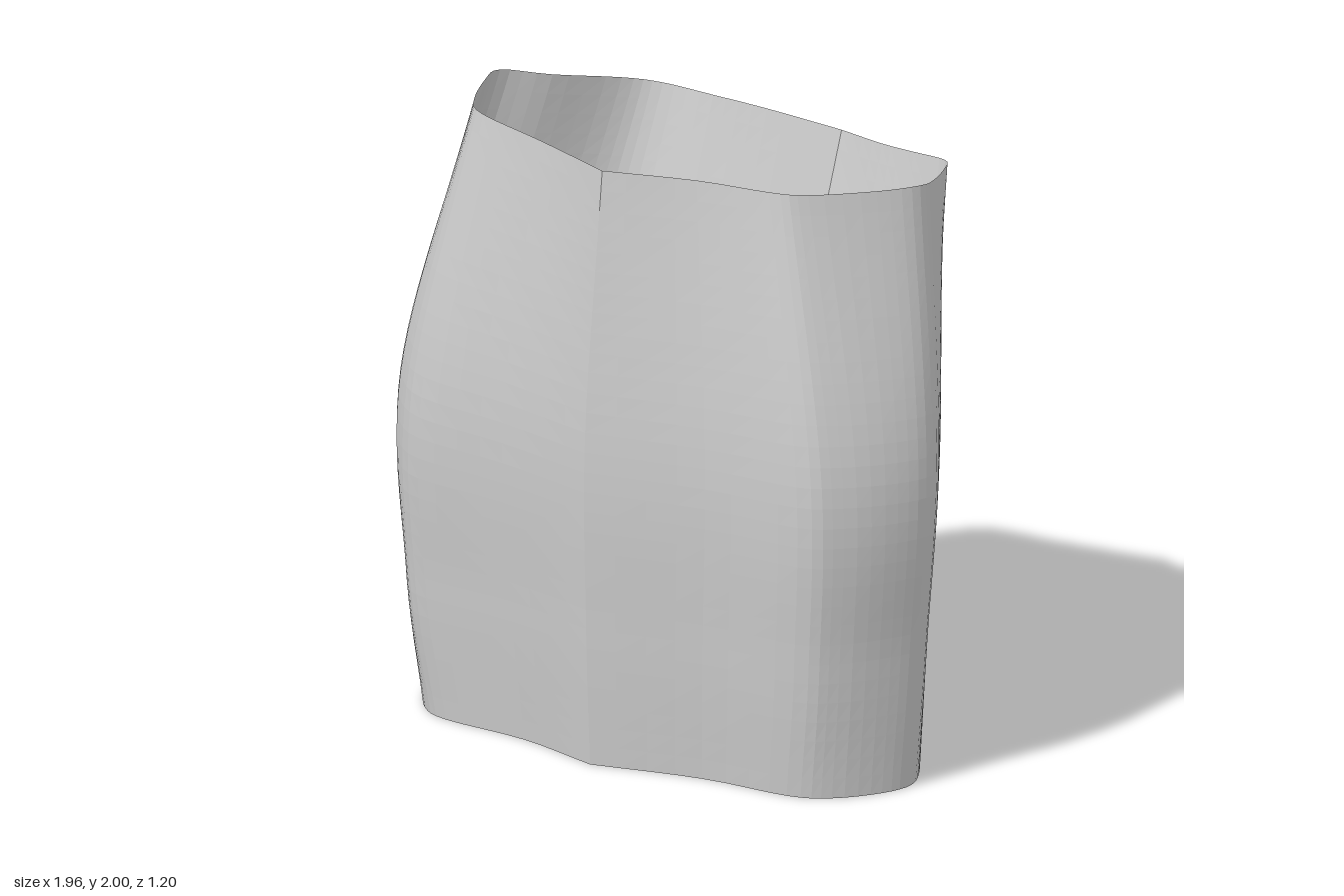
import * as THREE from 'three';

// Cross-sections of each half, from the back seam round the side to the front seam: x, z pairs.
const LEFT_HALF = [
  [.05,-.24, .3,-.18, .5,-.165, .65,-.165, .73,-.13, .83,0, .89,.13, .86,.25, .76,.38, .63,.44, .32,.455, -.045,.54],
  [.06,-.248, .3,-.19, .5,-.175, .67,-.17, .76,-.13, .86,0, .93,.13, .9,.26, .81,.41, .69,.485, .35,.495, -.035,.575],
  [.085,-.4, .3,-.33, .5,-.3, .65,-.27, .76,-.2, .88,-.04, .97,.13, .94,.28, .84,.44, .72,.52, .38,.525, -.02,.603],
  [.12,-.6, .35,-.49, .5,-.445, .65,-.4, .71,-.31, .78,-.15, .825,-.01, .77,.15, .65,.35, .55,.42, .3,.455, .005,.545],
];
const RIGHT_HALF = [
  [.05,-.24, -.15,-.18, -.35,-.16, -.6,-.18, -.71,-.15, -.83,0, -.9,.13, -.87,.25, -.78,.38, -.66,.44, -.35,.46, -.045,.54],
  [.06,-.248, -.15,-.19, -.35,-.175, -.6,-.19, -.73,-.15, -.86,0, -.935,.13, -.91,.26, -.83,.41, -.71,.48, -.37,.5, -.035,.575],
  [.085,-.4, -.15,-.335, -.35,-.315, -.58,-.31, -.72,-.23, -.87,-.05, -.975,.12, -.94,.26, -.85,.4, -.7,.51, -.38,.53, -.02,.603],
  [.12,-.6, -.12,-.54, -.3,-.505, -.48,-.49, -.58,-.41, -.69,-.19, -.785,-.04, -.745,.1, -.65,.3, -.56,.38, -.3,.44, .005,.545],
];
// Heights of the lower sections, and of the sloping top rim
const HEIGHTS = [0, .45, 1.1];
const LEFT_RIM = [1.8, 1.83, 1.845, 1.86, 1.87, 1.89, 1.92, 1.935, 1.955, 1.965, 1.965, 1.965];
const RIGHT_RIM = [1.8, 1.84, 1.86, 1.87, 1.89, 1.94, 1.98, 1.995, 2, 1.995, 1.975, 1.965];

const COLS = 44, ROWS = 30;
const spline = (points) => new THREE.CatmullRomCurve3(points, false, 'catmullrom', 0.5);

// One half of the garment: smooth round each section, then smooth up each column
function panel(name, sections, rim, flip) {
  const rings = sections.map((s, k) => spline(rim.map((top, i) =>
    new THREE.Vector3(s[2 * i], k < HEIGHTS.length ? HEIGHTS[k] : top, s[2 * i + 1]))));
  const positions = [], index = [];
  for (let i = 0; i <= COLS; i++) {
    const column = spline(rings.map((ring) => ring.getPoint(i / COLS)));
    for (let j = 0; j <= ROWS; j++) positions.push(...column.getPointAt(j / ROWS).toArray());
  }
  for (let i = 0; i < COLS; i++) {
    for (let j = 0; j < ROWS; j++) {
      const a = i * (ROWS + 1) + j, b = a + ROWS + 1, c = a + 1, d = b + 1;
      if (flip) index.push(a, b, c, b, d, c);
      else index.push(a, c, b, b, c, d);
    }
  }
  const geometry = new THREE.BufferGeometry();
  geometry.setAttribute('position', new THREE.Float32BufferAttribute(positions, 3));
  geometry.setIndex(index);
  geometry.computeVertexNormals();
  const material = new THREE.MeshStandardMaterial({
    color: 0xcccccc, flatShading: true, side: THREE.DoubleSide,
  });
  const mesh = new THREE.Mesh(geometry, material);
  mesh.name = name;
  return mesh;
}

export function createModel() {
  const group = new THREE.Group();
  group.name = 'skirt';
  // Two panels meet at the creased front and back seams
  group.add(panel('leftPanel', LEFT_HALF, LEFT_RIM, false));
  group.add(panel('rightPanel', RIGHT_HALF, RIGHT_RIM, true));
  return group;
}
